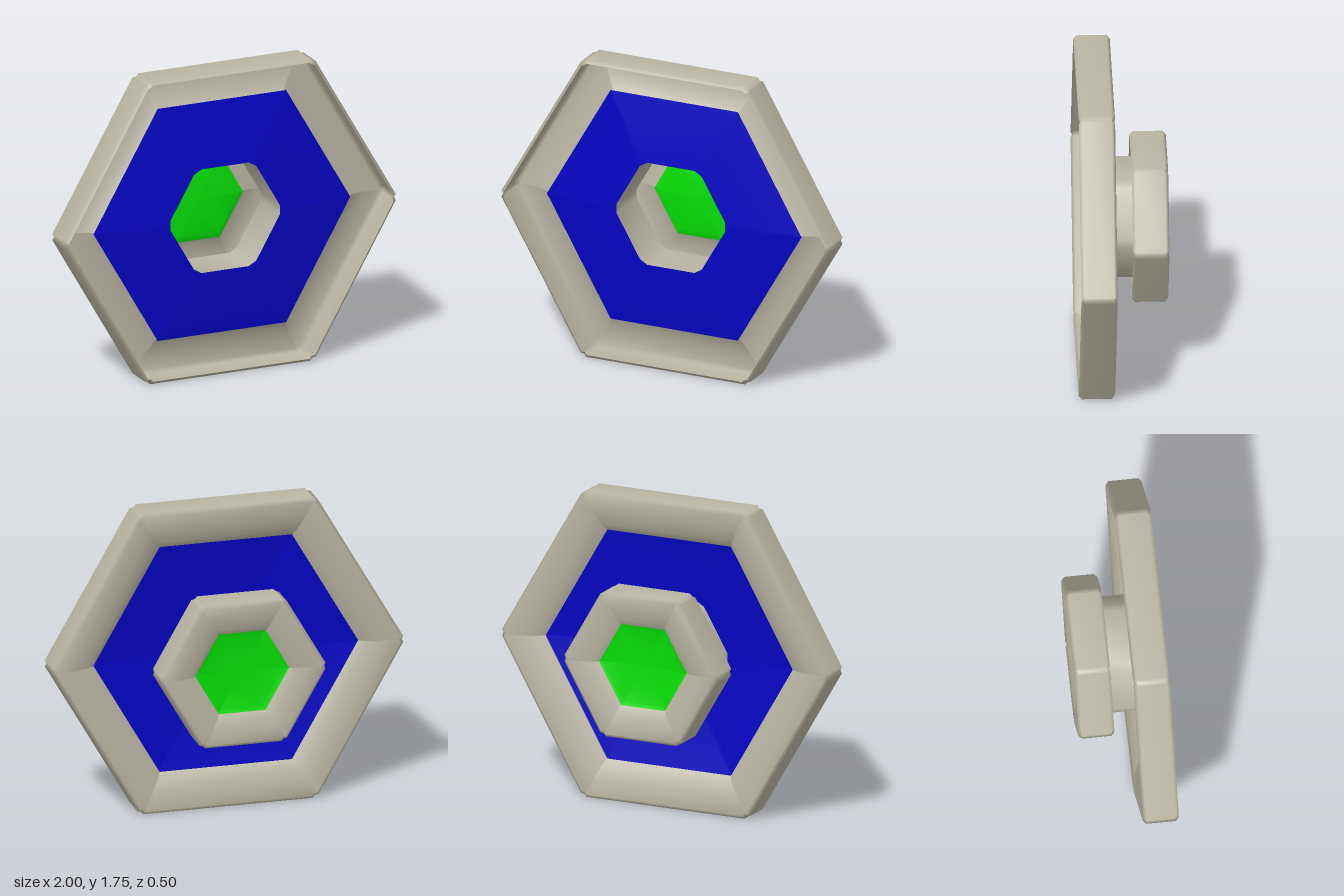
import * as THREE from 'three';
import { toCreasedNormals } from 'three/addons/utils/BufferGeometryUtils.js';

const CENTRE_Y = 0.875;
const TAN30 = Math.tan(Math.PI / 6);

// Hexagon outline (corners on the x axis) with trimmed corners: r = distance to a flat, cut = trim length
function trimmedHex(r, cut) {
  const points = [];
  for (let k = 0; k < 6; k++) {
    const a = Math.PI / 6 + k * Math.PI / 3;
    const s = r * TAN30 - cut;
    for (const t of [-s, s]) {
      points.push(new THREE.Vector2(r * Math.cos(a) - t * Math.sin(a), r * Math.sin(a) + t * Math.cos(a)));
    }
  }
  return points;
}

// Faces between rows of n points each, closed around the hexagon
function loft(rows) {
  const n = rows[0].length, index = [];
  for (let j = 0; j < rows.length - 1; j++) {
    for (let i = 0; i < n; i++) {
      const k = (i + 1) % n, a = j * n, b = a + n;
      index.push(a + i, a + k, b + k, a + i, b + k, b + i);
    }
  }
  const geometry = new THREE.BufferGeometry();
  geometry.setAttribute('position', new THREE.Float32BufferAttribute(rows.flat(2), 3));
  geometry.setIndex(index);
  geometry.computeVertexNormals();
  return geometry;
}

// Surface through hexagons given as [distance to flat, corner trim, z]
const hexSurface = (rings) => loft(rings.map(([r, cut, z]) => trimmedHex(r, cut).map((p) => [p.x, p.y, z])));

// Hexagonal shell, open to the front: rounded back plate and bevelled outer wall
function hexRim(outer, inner, innerZ) {
  const w = outer - inner, drop = innerZ + 0.1;
  const profile = [
    [inner, innerZ, 0.1],
    [inner + w * 0.17, innerZ - drop * 0.45, 0.2],
    [inner + w * 0.5, innerZ - drop * 0.82, 0.4],
    [outer - 0.02, -0.1, 0.9],
    [outer, -0.082, 1],
    [outer, 0.082, 1],
    [outer - 0.018, 0.1, 0.9],
  ];
  // Three stations at each corner, the middle one slightly pinched
  return loft(profile.map(([r, z, c]) => {
    const p = trimmedHex(r, 0.022 * c);
    const row = [];
    for (let k = 0; k < 6; k++) {
      const a = p[2 * k], b = p[2 * k + 1], next = p[(2 * k + 2) % 12];
      const mid = b.clone().add(next).multiplyScalar(0.5 - 0.003 * c);
      row.push([a.x, a.y, z], [b.x, b.y, z], [mid.x, mid.y, z * (1 - 0.08 * c)]);
    }
    return row;
  }));
}

export function createModel() {
  const material = (name, color) => {
    const m = new THREE.MeshStandardMaterial({ color, side: THREE.DoubleSide });
    m.name = name;
    return m;
  };
  const stone = material('warm grey', 0xbab6a4);
  const blue = material('deep blue', 0x0404c4);
  const green = material('bright green', 0x05e005);

  const model = new THREE.Group();
  model.name = 'hexagonalEmitter';
  const add = (name, geometry, mat, z = 0) => {
    const mesh = new THREE.Mesh(geometry, mat);
    mesh.name = name;
    mesh.position.set(0, CENTRE_Y, z);
    model.add(mesh);
  };

  // Large front rim and its blue panel, rising gently to a central opening
  add('frontRim', hexRim(0.875, 0.655, -0.035), stone, 0.15);
  add('bluePanel', hexSurface([[0.672, 0.002, 0.122], [0.5, 0.015, 0.147], [0.3, 0.03, 0.165]]), blue);

  // Collar joining the opening to the rear rim
  add('collar', toCreasedNormals(hexSurface([[0.3, 0.03, -0.09], [0.3, 0.03, 0.165]]), 0.75), stone);

  // Small rear rim with a slightly domed green panel
  add('rearRim', hexRim(0.415, 0.232, -0.06), stone, -0.15);
  add('greenPanel', hexSurface([[0.243, 0.002, -0.21], [0.21, 0.004, -0.198], [0.1, 0.004, -0.19], [0, 0, -0.188]]), green);

  return model;
}
